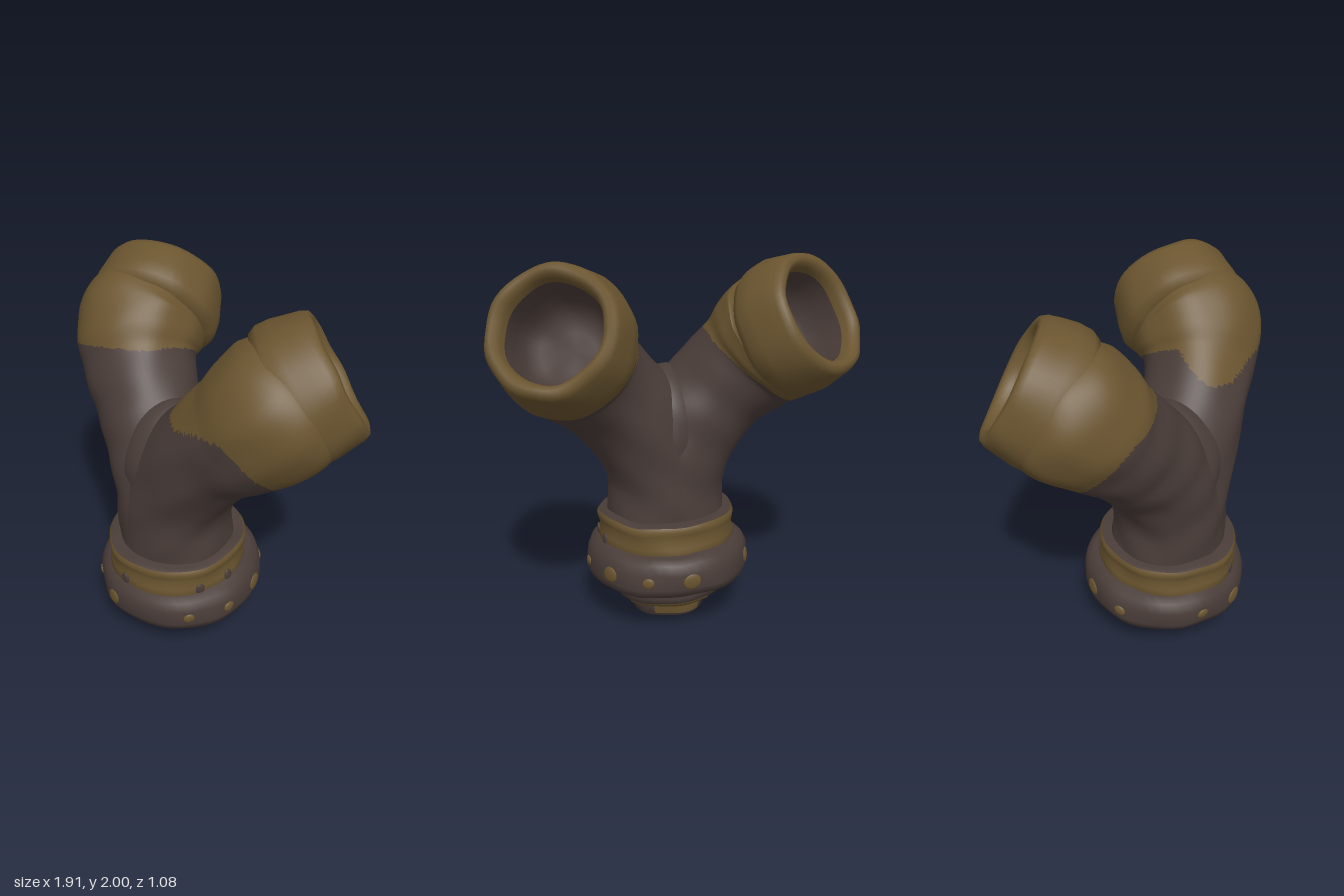
import * as THREE from 'three';
import { mergeVertices } from 'three/addons/utils/BufferGeometryUtils.js';

const brass = new THREE.MeshStandardMaterial({ color: 0x6b5530 });
brass.name = 'aged brass';
const iron = new THREE.MeshStandardMaterial({ color: 0x4a3d39 });
iron.name = 'dark iron';

// Gentle hand-worn lumps, then smooth normals over welded vertices
function worn(geo, amount = 0.007) {
  geo.deleteAttribute('uv');
  geo.deleteAttribute('normal');
  const g = mergeVertices(geo, 1e-4);
  const p = g.attributes.position;
  for (let i = 0; i < p.count; i++) {
    const x = p.getX(i), y = p.getY(i), z = p.getZ(i);
    p.setXYZ(i,
      x + amount * Math.sin(17 * y + 9 * z + 2) * Math.cos(13 * z - 5 * x),
      y + amount * Math.sin(15 * x + 11 * z) * Math.cos(8 * x + 1),
      z + amount * Math.sin(16 * x - 10 * y + 1) * Math.cos(12 * y));
  }
  g.computeVertexNormals();
  return g;
}

function part(parent, name, geo, material) {
  const mesh = new THREE.Mesh(worn(geo), material);
  mesh.name = name;
  parent.add(mesh);
}

// Turned piece from [radius, height] pairs
function turned(profile, matrix, start = 0, length = Math.PI * 2) {
  const pts = profile.map(([r, y]) => new THREE.Vector2(r, y));
  return new THREE.LatheGeometry(pts, 48, start, length).applyMatrix4(matrix);
}

// Flat round spot set on a turned piece, at an angle from the front
function spot(width, height, y, radius, angle, matrix) {
  return new THREE.SphereGeometry(1, 14, 10).scale(width, height, 0.011)
    .translate(0, y, radius).rotateY(angle).applyMatrix4(matrix);
}

// Pipe of varying radius through [x, y, z, radius] stations;
// faces go to material 1 where isSecond(point) holds, otherwise to material 0
function pipe(stations, isSecond, steps = 100, sides = 64) {
  const path = new THREE.CatmullRomCurve3(stations.map(s => new THREE.Vector3(s[0], s[1], s[2])));
  const radii = new THREE.SplineCurve(stations.map((s, i) => new THREE.Vector2(i, s[3])));
  const points = [], faces = [[], []];
  for (let i = 0; i <= steps; i++) {
    const c = path.getPoint(i / steps), r = radii.getPoint(i / steps).y;
    const t = path.getTangent(i / steps);
    const u = new THREE.Vector3(0, 0, 1).cross(t).normalize();
    const v = t.clone().cross(u);
    for (let j = 0; j < sides; j++) {
      const a = j / sides * Math.PI * 2;
      points.push(c.clone().addScaledVector(u, r * Math.cos(a)).addScaledVector(v, r * Math.sin(a)));
    }
  }
  for (let i = 0; i < steps; i++) {
    for (let j = 0; j < sides; j++) {
      const k = (j + 1) % sides, A = i * sides, B = A + sides;
      for (const tri of [[A + j, A + k, B + j], [A + k, B + k, B + j]]) {
        const mid = new THREE.Vector3();
        tri.forEach(n => mid.addScaledVector(points[n], 1 / 3));
        faces[isSecond(mid) ? 1 : 0].push(...tri);
      }
    }
  }
  const g = new THREE.BufferGeometry().setFromPoints(points);
  g.setIndex(faces.flat());
  g.addGroup(0, faces[0].length, 0);
  g.addGroup(faces[0].length, faces[1].length, 1);
  return g;
}

// Uneven brass edge on the elbow: [constant, slope] of its shift across the front
function brassEdge([shift, slope]) {
  return p => {
    const x = Math.abs(p.x) - 0.45, y = p.y - 1.42, z = p.z - 0.04;
    const front = Math.max(0, z / 0.3), outer = Math.min(0.2, (0.8 * x - 0.6 * y) / 0.3);
    return 0.56 * x + 0.8 * y - 0.24 * z > front * (shift + slope * outer);
  };
}

export function createModel() {
  const model = new THREE.Group();
  model.name = 'forkedPipe';

  // Stepped foot, tipped slightly forward
  const base = new THREE.Group();
  base.name = 'base';
  model.add(base);
  const tilt = new THREE.Matrix4().makeRotationX(0.045).setPosition(0, 0, 0.068);
  part(base, 'foot', turned([[0, 0.035], [0.03, 0.03], [0.04, 0.01], [0.17, 0.012], [0.2, 0.03],
    [0.21, 0.08], [0.215, 0.12], [0.27, 0.128], [0.31, 0.15], [0.325, 0.19], [0.32, 0.235],
    [0.33, 0.245]], tilt), iron);
  part(base, 'flange', turned([[0.28, 0.23], [0.38, 0.238], [0.43, 0.255], [0.447, 0.30], [0.445, 0.38],
    [0.425, 0.43], [0.39, 0.455], [0.3, 0.47]], tilt), iron);
  const collarAt = tilt.clone().multiply(new THREE.Matrix4().makeTranslation(0, 0, 0.018));
  part(base, 'collar', turned([[0.3, 0.425], [0.36, 0.43], [0.378, 0.45], [0.372, 0.49], [0.363, 0.53],
    [0.37, 0.565], [0.375, 0.59], [0.364, 0.608]], collarAt), brass);
  part(base, 'collarTop', turned([[0.364, 0.608], [0.345, 0.615], [0.28, 0.617]], collarAt), iron);

  // Dark nicks along the lower edge of the collar
  for (const angle of [0.1, 1.3, 1.78]) {
    part(base, 'collarNick', spot(0.026, 0.036, 0.475, 0.373, angle, collarAt), iron);
  }

  // Worn brass patches at the back of the foot
  part(base, 'footPatch', turned([[0.208, 0.045], [0.216, 0.08], [0.221, 0.114]],
    tilt, Math.PI - 0.65, 1.3), brass);
  part(base, 'stepPatch', turned([[0.221, 0.114], [0.27, 0.122], [0.316, 0.147], [0.325, 0.165]],
    tilt, Math.PI - 0.95, 1.4), brass);

  // Studs round the flange, with a few missing
  for (let i = 0; i < 12; i++) {
    if ([1, 7, 10].includes(i)) continue;
    const size = [0, 4, 6, 8].includes(i) ? 0.05 : 0.033;
    part(base, 'stud', spot(size, size * 0.85, 0.342, 0.445, i * Math.PI / 6, tilt), brass);
  }

  // Rounded web that fills the fork
  part(model, 'forkWeb', new THREE.SphereGeometry(1, 40, 28).scale(0.235, 0.35, 0.282)
    .translate(0, 1.055, 0.115), iron);

  // Two mirrored arms that share the stem and swing outward and back
  for (const s of [1, -1]) {
    const arm = new THREE.Group();
    arm.name = s > 0 ? 'leftArm' : 'rightArm';
    model.add(arm);
    const stations = [[0.025, 0.5, 0.11, 0.297], [0.025, 0.82, 0.12, 0.297], [0.14, 1.09, 0.11, 0.285],
      [0.3, 1.28, 0.08, 0.282], [0.44, 1.42, 0.03, 0.303], [0.505, 1.5, -0.015, 0.336],
      [0.565, 1.58, -0.08, 0.35], [0.595, 1.635, -0.15, 0.325]];
    part(arm, 'armPipe', pipe(stations.map(([x, y, z, r]) => [s * x, y, z, r]),
      brassEdge(s > 0 ? [0.06, 0.38] : [0.12, 0.12])), [iron, brass]);

    // Open end cap with a dark hollow
    const frame = new THREE.Matrix4().makeRotationFromQuaternion(new THREE.Quaternion().setFromUnitVectors(
      new THREE.Vector3(0, 1, 0), new THREE.Vector3(s * 0.48, 0.5, -0.72).normalize()))
      .setPosition(s * 0.68, 1.73, -0.315);
    part(arm, 'endCap', turned([[0.28, -0.3], [0.335, -0.285], [0.355, -0.24], [0.353, -0.17], [0.338, -0.09],
      [0.328, -0.03], [0.312, 0], [0.285, 0.008], [0.262, -0.005], [0.25, -0.035], [0.244, -0.07]],
      frame), brass);
    part(arm, 'capLining', turned([[0.244, -0.07], [0.24, -0.18], [0.23, -0.28], [0.18, -0.36],
      [0.1, -0.37], [0, -0.35]], frame), iron);
  }
  return model;
}
